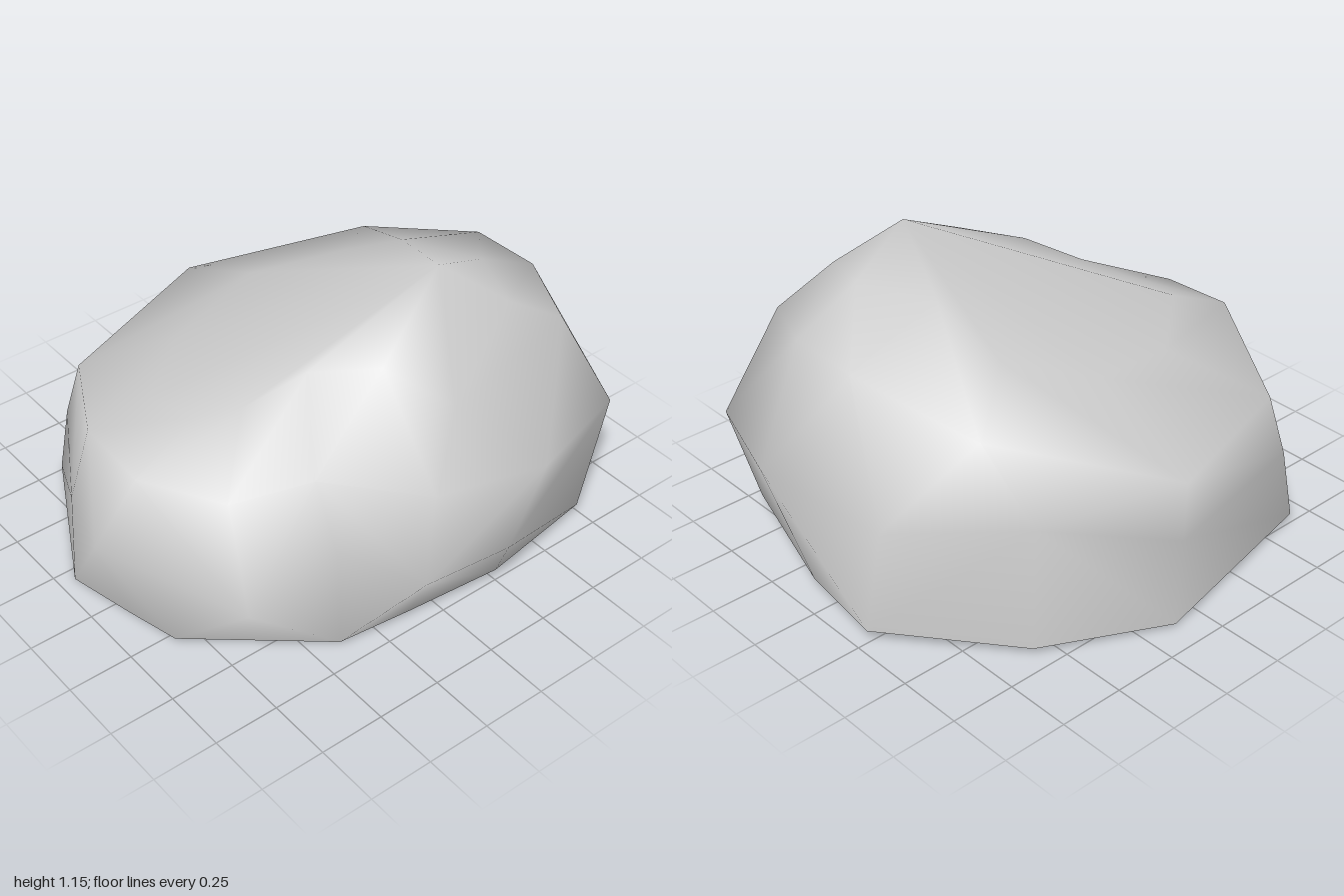
import * as THREE from 'three';

// Outlines of the boulder from the ground up; each runs from the front round by +x.
const base = [
  [-0.2, 0, 0.94], [0.08, 0.01, 0.885], [0.29, 0.02, 0.84], [0.66, 0.02, 0.4],
  [0.7, 0.03, 0.12], [0.75, 0.05, -0.25], [0.67, 0.04, -0.74], [0.13, 0.03, -0.9],
  [-0.25, 0.05, -0.96], [-0.68, 0.03, -0.59], [-0.9, 0.02, -0.13], [-0.74, 0.03, 0.65],
];
const belly = [
  [-0.2, 0.38, 0.92], [0.07, 0.38, 1], [0.58, 0.28, 0.73], [0.64, 0.42, 0.4],
  [0.87, 0.33, 0.2], [0.89, 0.31, -0.16], [0.66, 0.47, -0.87], [0.26, 0.47, -1],
  [-0.25, 0.42, -0.89], [-0.67, 0.5, -0.57], [-0.89, 0.35, -0.1], [-0.71, 0.3, 0.62],
];
const shoulder = [
  [-0.2, 0.64, 0.83], [0.1, 0.62, 0.84], [0.38, 0.6, 0.66], [0.52, 0.66, 0.4],
  [0.78, 0.6, 0.09], [0.84, 0.54, -0.37], [0.56, 0.87, -0.68], [0.28, 0.9, -0.8],
  [-0.01, 0.89, -0.8], [-0.46, 0.76, -0.62], [-0.88, 0.57, -0.08], [-0.66, 0.53, 0.58],
];
const crown = [
  [-0.13, 0.72, 0.62], [0.08, 0.74, 0.57], [0.2, 0.8, 0.46], [0.3, 0.92, 0.26],
  [0.48, 0.96, 0.08], [0.7, 0.87, -0.05], [0.5, 1, -0.47], [0.28, 1.03, -0.54],
  [0, 1.02, -0.41], [-0.25, 0.87, -0.35], [-0.45, 0.78, -0.07], [-0.38, 0.71, 0.32],
];
const peak = [0.35, 1.155, -0.27];

// True when d lies outside the plane of a, b and c.
function bulgesAt(d, a, b, c) {
  const [u, v, w] = [b, c, d].map((p) => new THREE.Vector3(...p).sub(new THREE.Vector3(...a)));
  return u.cross(v).dot(w) > 0;
}

// Joins the outlines with smooth sides and closes them at the top; the foot stays open.
function shellGeometry(rings, top) {
  const n = rings[0].length;
  const last = (rings.length - 1) * n;
  const points = [...rings.flat(), top];
  const faces = [];
  for (let i = 0; i < n; i++) {
    const j = (i + 1) % n;
    for (let r = 0; r < last; r += n) {
      const [a, b, c, d] = [r + i, r + j, r + n + j, r + n + i];
      // Split each panel along its outward fold
      if (bulgesAt(points[d], points[a], points[b], points[c])) faces.push(a, b, d, b, c, d);
      else faces.push(a, b, c, a, c, d);
    }
    faces.push(last + i, last + j, last + n);
  }
  const geometry = new THREE.BufferGeometry();
  geometry.setAttribute('position', new THREE.Float32BufferAttribute(points.flat(), 3));
  geometry.setIndex(faces);
  geometry.computeVertexNormals();
  return geometry;
}

export function createModel() {
  // Double-sided, because the hollow inside can be seen from below
  const stone = new THREE.MeshStandardMaterial({ color: 0xcccccc, side: THREE.DoubleSide });
  stone.name = 'stone grey';

  const boulder = new THREE.Group();
  boulder.name = 'boulder';

  const shell = new THREE.Mesh(shellGeometry([base, belly, shoulder, crown], peak), stone);
  shell.name = 'boulderShell';
  boulder.add(shell);
  return boulder;
}
